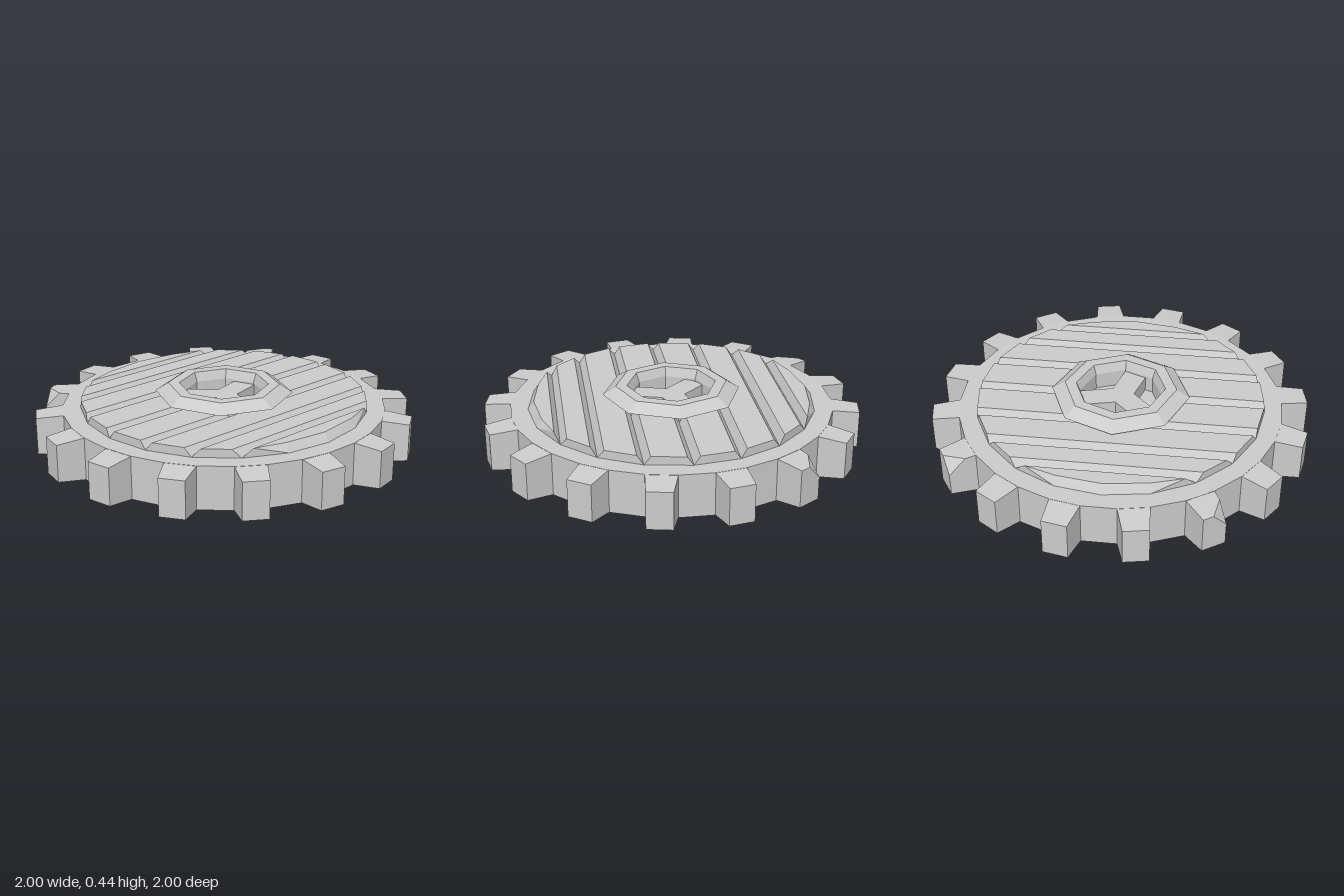
import * as THREE from 'three';
import { ConvexGeometry } from 'three/addons/geometries/ConvexGeometry.js';

const MID = 0.22; // mid height of the wheel
const RIM = 0.77; // radius of the 20-sided planked disc
const material = new THREE.MeshStandardMaterial({ color: 0xcccccc, flatShading: true });
const rad = THREE.MathUtils.degToRad;
const polar = (r, deg, y) => new THREE.Vector3(r * Math.sin(rad(deg)), y, r * Math.cos(rad(deg)));

function add(parent, name, geometry) {
  const mesh = new THREE.Mesh(geometry, material);
  mesh.name = name;
  parent.add(mesh);
  return mesh;
}

// Half depth of the 20-sided disc at a given x
function rimZ(x) {
  const s = Math.min(Math.abs(x) / RIM, 1);
  const a = Math.min(Math.floor(Math.asin(s) / rad(18) + 1e-6), 4) * 18;
  const s0 = Math.sin(rad(a)), s1 = Math.sin(rad(a + 18));
  const t = (s - s0) / (s1 - s0);
  return RIM * THREE.MathUtils.lerp(Math.cos(rad(a)), Math.cos(rad(a + 18)), t);
}

// Convex block with the same outline above and below, chamfered towards both faces
function plank(parent, name, wide, narrow) {
  const points = [];
  for (const s of [-1, 1]) {
    for (const [x, z] of wide) points.push(new THREE.Vector3(x, MID + s * 0.115, z));
    for (const [x, z] of narrow) points.push(new THREE.Vector3(x, MID + s * 0.16, z));
  }
  add(parent, name, new ConvexGeometry(points));
}

export function createModel() {
  const group = new THREE.Group();
  group.name = 'plankedGearWheel';

  // Rim plate with an octagonal opening
  const outline = [];
  for (let k = 0; k < 16; k++) {
    for (const s of [-1, 1]) {
      const p = polar(0.865, 11.25 + 22.5 * k + s * 5.3, 0);
      outline.push(new THREE.Vector2(p.x, p.z));
    }
  }
  const plate = new THREE.Shape(outline);
  const opening = [];
  for (let k = 0; k < 8; k++) {
    const p = polar(0.25, 45 * k, 0);
    opening.push(new THREE.Vector2(p.x, p.z));
  }
  plate.holes.push(new THREE.Path(opening));
  const plateGeometry = new THREE.ExtrudeGeometry(plate, { depth: 0.23, bevelEnabled: false });
  plateGeometry.rotateX(-Math.PI / 2).translate(0, MID - 0.115, 0);
  add(group, 'rimPlate', plateGeometry);

  // Sixteen tapered teeth, two of them with a chipped corner
  const teeth = new THREE.Group();
  teeth.name = 'teeth';
  group.add(teeth);
  for (let k = 0; k < 16; k++) {
    const a = 11.25 + 22.5 * k;
    const chipped = k === 9 || k === 13;
    const points = [];
    for (const s of [-1, 1]) {
      for (const v of [-1, 1]) {
        points.push(polar(0.85, a + s * 5.5, MID + v * 0.115));
        const chip = chipped && s === 1 && v === 1;
        points.push(polar(1.008, a + s * 3.75, chip ? MID + 0.02 : MID + v * 0.1));
      }
    }
    if (chipped) points.push(polar(1.006, a - 0.5, MID + 0.1), polar(0.92, a + 4.7, MID + 0.108));
    add(teeth, 'tooth', new ConvexGeometry(points));
  }

  // Planks on both faces, separated by V grooves
  const planks = new THREE.Group();
  planks.name = 'planks';
  group.add(planks);
  const seams = [0, 18, 36, 54].map((d) => RIM * Math.sin(rad(d)));
  const inset = 0.032;
  for (const m of [-1, 1]) {
    const mirrored = (list) => list.map(([x, z]) => [m * x, z]);
    const both = (list) => mirrored(list.flatMap(([x, z]) => [[x, z], [x, -z]]));

    // Centre planks, interrupted by the hub
    for (const f of [-1, 1]) {
      const x1 = seams[1];
      const [a, b] = [inset, x1 - inset];
      plank(planks, 'centrePlank',
        mirrored([[0, f * rimZ(0)], [x1, f * rimZ(x1)], [0, f * 0.28], [x1, f * 0.16]]),
        mirrored([[a, f * rimZ(a)], [b, f * rimZ(b)], [a, f * 0.264], [b, f * 0.176]]));
    }

    // Full length planks beside the hub
    for (let i = 1; i < 3; i++) {
      const [x0, x1] = [seams[i], seams[i + 1]];
      const [a, b] = [x0 + inset, x1 - inset];
      plank(planks, 'sidePlank',
        both([[x0, rimZ(x0)], [x1, rimZ(x1)]]),
        both([[a, rimZ(a)], [b, rimZ(b)]]));
    }

    // Curved outermost plank
    plank(planks, 'edgePlank',
      both([[seams[3], rimZ(seams[3])], [0.732, 0.238], [RIM, 0]]),
      both([[0.65, 0.4], [0.705, 0.232], [0.738, 0]]));
  }

  // Octagonal hub collar, flared on both faces
  const upper = [[0.27, 0.165], [0.37, 0.175], [0.3, 0.22], [0.24, 0.22], [0.22, 0.17]];
  const lower = upper.map(([r, y]) => [r, -y]).reverse();
  const profile = [upper[4], ...lower, ...upper].map(([r, y]) => new THREE.Vector2(r, MID + y));
  const collar = new THREE.LatheGeometry(profile, 8).toNonIndexed();
  collar.computeVertexNormals();
  add(group, 'hubCollar', collar);

  // Recessed hub floor with a three-armed spider
  add(group, 'hubFloor', new THREE.CylinderGeometry(0.235, 0.235, 0.16, 8)).position.y = MID;
  const spider = new THREE.Group();
  spider.name = 'hubSpider';
  spider.position.y = MID;
  group.add(spider);
  for (let k = 0; k < 3; k++) {
    const arm = add(spider, 'spiderArm', new THREE.BoxGeometry(0.21, 0.32, 0.125).translate(0.105, 0, 0));
    arm.rotation.y = rad(-16 + 120 * k);
  }

  return group;
}
